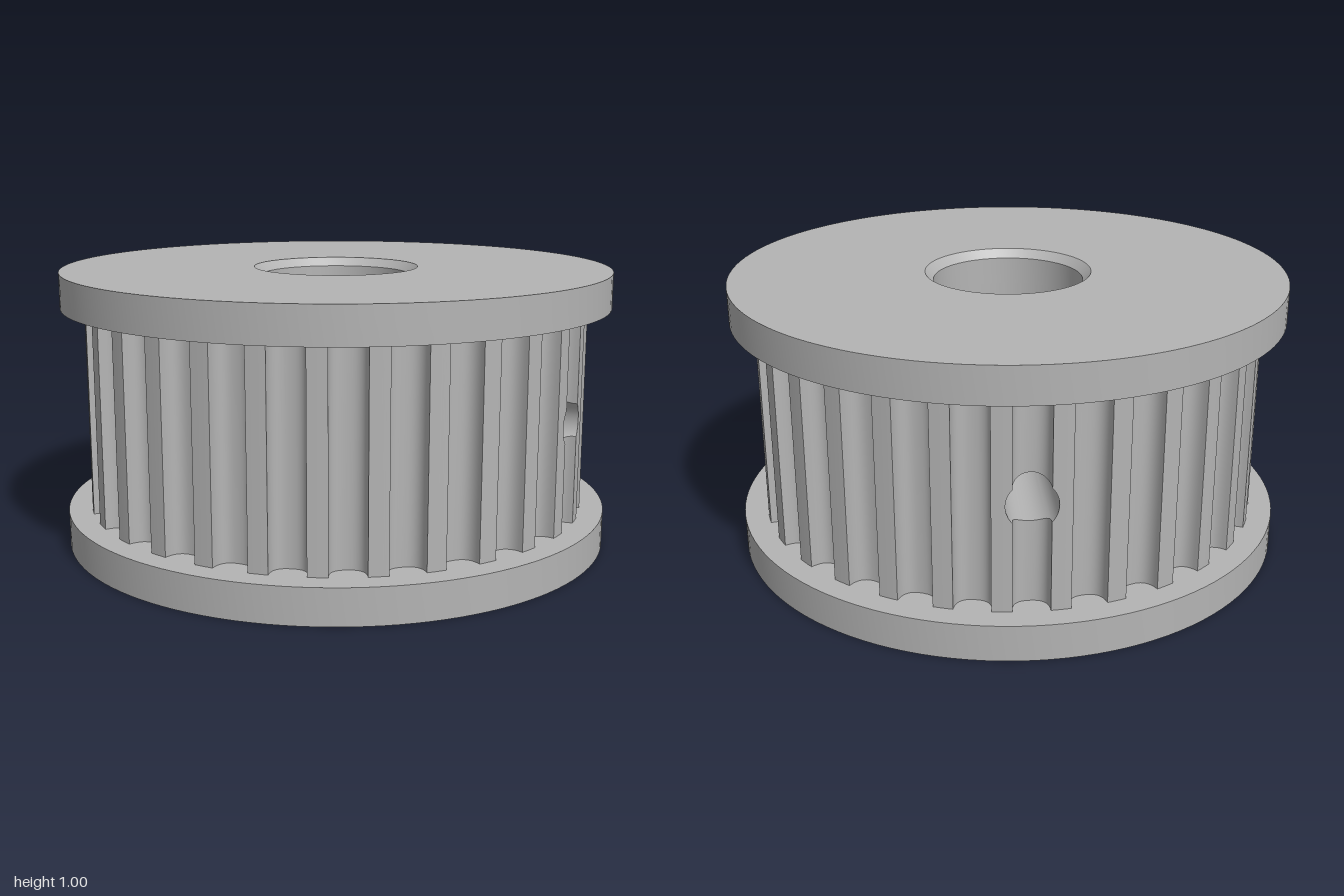
import * as THREE from 'three';
import { toCreasedNormals } from 'three/addons/utils/BufferGeometryUtils.js';

const TEETH = 30, PITCH = (Math.PI * 2) / TEETH;
const HUB_R = 0.915, BORE_R = 0.27, FLANGE_H = 0.128;
const GROOVE_HALF = 0.062, GROOVE_DEPTH = 0.07;
const HOLE_R = 0.085, HOLE_Y = 0.503;
const HOLE_ANGLES = [Math.PI / 3, Math.PI]; // azimuth from +z towards +x

// Half of one groove plus half a tooth: [sideways offset, radial distance]
function halfPitch() {
  const pts = [];
  for (let i = 0; i <= 9; i++) {
    const t = (i / 9) * Math.PI / 2;
    const u = GROOVE_HALF * Math.pow(Math.sin(t), 0.8);
    const depth = GROOVE_DEPTH * Math.pow(Math.max(0, Math.cos(t)), 0.8);
    pts.push([u, Math.sqrt(HUB_R ** 2 - u * u) - depth]);
  }
  for (const u of [0.068, 0.075, 0.081, 0.084, HOLE_R, HUB_R * Math.sin(PITCH / 2)]) {
    pts.push([u, Math.sqrt(HUB_R ** 2 - u * u)]);
  }
  return pts;
}

const rotate = ([u, d], a) => [u * Math.cos(a) + d * Math.sin(a), d * Math.cos(a) - u * Math.sin(a)];

// Closed toothed outline as [x, z], running anticlockwise seen from outside
function toothedOutline() {
  const half = halfPitch();
  const left = half.slice(1, -1).reverse().map(([u, d]) => [-u, d]);
  const outline = [];
  for (let k = 0; k < TEETH; k++) {
    for (const p of [...left, ...half]) outline.push(rotate(p, k * PITCH));
  }
  return outline;
}

// Sideways offset and half height of a screw hole at a point of the outline
function holeAt([x, z], a) {
  const u = x * Math.cos(a) - z * Math.sin(a);
  const d = x * Math.sin(a) + z * Math.cos(a);
  const inside = d > 0 && Math.abs(u) < HOLE_R;
  return { u, h: inside ? Math.sqrt(HOLE_R ** 2 - u * u) : 0 };
}

function quadGeometry(quads) {
  const pos = [];
  for (const [a, b, c, d] of quads) pos.push(...a, ...b, ...c, ...a, ...c, ...d);
  const g = new THREE.BufferGeometry();
  g.setAttribute('position', new THREE.Float32BufferAttribute(pos, 3));
  return toCreasedNormals(g, 0.55);
}

// Upright wall along an outline, opened where the screw holes pass through
function wall(outline, y0, y1, inward) {
  const quads = [];
  const add = (p, q, a, b, c, d) => {
    const quad = [[p[0], a, p[1]], [q[0], b, q[1]], [q[0], c, q[1]], [p[0], d, p[1]]];
    quads.push(inward ? quad.reverse() : quad);
  };
  const gap = (p) => Math.max(...HOLE_ANGLES.map((a) => holeAt(p, a).h));
  outline.forEach((p, i) => {
    const q = outline[(i + 1) % outline.length];
    const hp = gap(p), hq = gap(q);
    if (hp + hq === 0) {
      add(p, q, y0, y0, y1, y1);
    } else {
      add(p, q, y0, y0, HOLE_Y - hq, HOLE_Y - hp);
      add(p, q, HOLE_Y + hp, HOLE_Y + hq, y1, y1);
    }
  });
  return quadGeometry(quads);
}

// Round lining of one screw hole, from the toothed surface to the bore
function holeLining(outline, angle) {
  const quads = [];
  outline.forEach((p, i) => {
    const q = outline[(i + 1) % outline.length];
    const a = holeAt(p, angle), b = holeAt(q, angle);
    if (a.h + b.h === 0) return;
    const inner = ({ u }) => rotate([u, Math.sqrt(BORE_R ** 2 - u * u)], angle);
    const pi = inner(a), qi = inner(b);
    for (const s of [-1, 1]) {
      const ya = HOLE_Y + s * a.h, yb = HOLE_Y + s * b.h;
      const quad = [[p[0], ya, p[1]], [q[0], yb, q[1]], [qi[0], yb, qi[1]], [pi[0], ya, pi[1]]];
      quads.push(s < 0 ? quad : quad.reverse());
    }
  });
  return quadGeometry(quads);
}

export function createModel() {
  const group = new THREE.Group();
  const metal = new THREE.MeshStandardMaterial({ color: 0xb4b4b4 });
  metal.name = 'grey metal';
  const add = (name, geometry) => {
    const mesh = new THREE.Mesh(geometry, metal);
    mesh.name = name;
    group.add(mesh);
    return mesh;
  };

  // Toothed hub and its bore
  const outline = toothedOutline();
  add('toothedHub', wall(outline, FLANGE_H, 1 - FLANGE_H, false));
  const bore = Array.from({ length: 360 }, (_, i) => rotate([0, BORE_R], (i * Math.PI) / 180));
  add('bore', wall(bore, FLANGE_H, 1 - FLANGE_H, true));

  // Two set screw holes, a third of a turn apart
  HOLE_ANGLES.forEach((a, i) => add(`setScrewHole${i + 1}`, holeLining(outline, a)));

  // Flanges with a chamfered bore; the top one is the bottom one turned over
  const profile = [[0.3, 0], [1, 0], [1, FLANGE_H], [BORE_R, FLANGE_H], [BORE_R, 0.03], [0.3, 0]]
    .map(([r, y]) => new THREE.Vector2(r, y));
  const flange = toCreasedNormals(new THREE.LatheGeometry(profile, 120), 0.55);
  add('bottomFlange', flange);
  const top = add('topFlange', flange);
  top.rotation.x = Math.PI;
  top.position.y = 1;

  return group;
}
